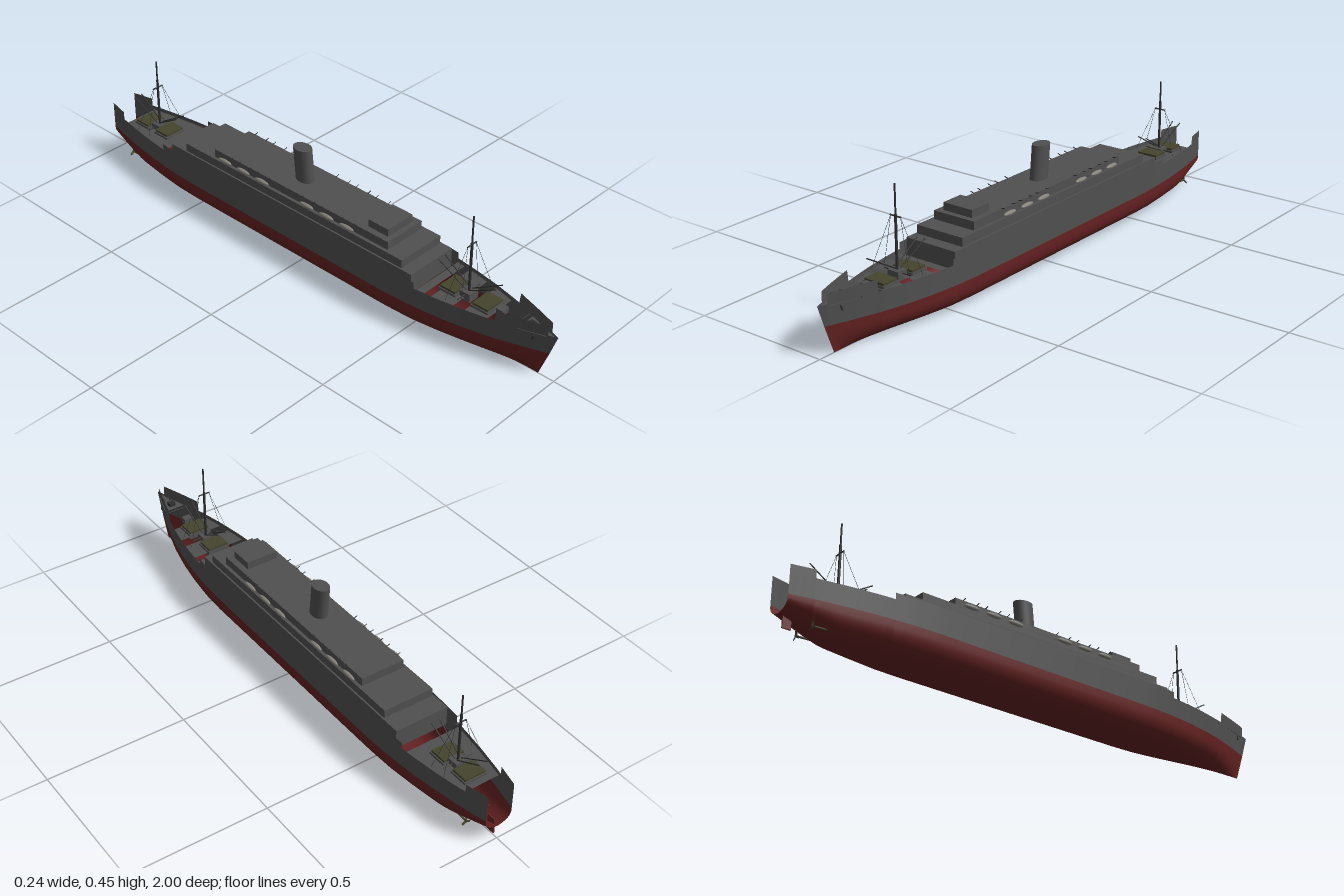
import * as THREE from 'three';

const mat = (name, color, side = THREE.FrontSide) => {
  const m = new THREE.MeshStandardMaterial({ color, side });
  m.name = name;
  return m;
};

// Half-breadth of the hull at deck level, as [z, halfWidth]
const BREADTH = [[-1, 0.05], [-0.9, 0.073], [-0.8, 0.091], [-0.7, 0.105], [-0.6, 0.114], [-0.5, 0.118], [0.4, 0.118],
  [0.5, 0.113], [0.6, 0.102], [0.7, 0.086], [0.8, 0.064], [0.9, 0.034], [0.96, 0.014], [1, 0.0005]];
// Height of the hull side, stepped at each bulwark: [zFrom, zTo, height]
const SHEER = [[-1, -0.92, 0.195], [-0.92, -0.66, 0.166], [-0.66, 0.52, 0.188], [0.52, 0.81, 0.166],
  [0.81, 0.97, 0.205], [0.97, 1, 0.17]];
const WATERLINE = 0.096;

const clamp01 = (v) => Math.min(1, Math.max(0, v));

function halfWidth(z) {
  for (let i = 1; i < BREADTH.length; i++) {
    const [z0, w0] = BREADTH[i - 1], [z1, w1] = BREADTH[i];
    if (z <= z1) return w0 + (w1 - w0) * clamp01((z - z0) / (z1 - z0));
  }
  return 0.0005;
}

// Raked stem: lower points near the bow move aft
const rake = (z, y) => z - 0.06 * clamp01((z - 0.6) / 0.4) * clamp01(1 - y / 0.165);

// Skin between rows of points
function loft(rows) {
  const n = rows[0].length, index = [];
  for (let i = 0; i < rows.length - 1; i++) {
    for (let j = 0; j < n - 1; j++) {
      const a = i * n + j, b = a + 1, c = a + n, d = c + 1;
      index.push(a, b, c, b, d, c);
    }
  }
  const g = new THREE.BufferGeometry();
  g.setAttribute('position', new THREE.Float32BufferAttribute(rows.flat(2), 3));
  g.setIndex(index);
  g.computeVertexNormals();
  return g;
}

// Hull stations, doubled where the bulwark height steps
const stations = SHEER.flatMap(([a, b, top]) => {
  const n = Math.max(2, Math.round((b - a) / 0.03));
  return Array.from({ length: n + 1 }, (_, i) => ({ z: a + (b - a) * i / n, top }));
});

function lowerSection(z) {
  const w = halfWidth(z);
  const keel = 0.052 * Math.pow(clamp01((-z - 0.82) / 0.18), 1.2);
  const ex = 0.7 + 1.0 * clamp01((z - 0.5) / 0.5) + 0.6 * clamp01((-z - 0.6) / 0.4);
  const row = [];
  for (let i = -12; i <= 12; i++) {
    const a = Math.abs(i) / 12 * Math.PI / 2;
    const x = Math.sign(i) * w * Math.pow(Math.sin(a), ex);
    const y = keel + (WATERLINE - keel) * (1 - Math.pow(Math.max(0, Math.cos(a)), 0.7));
    row.push([x, y, rake(z, y)]);
  }
  return row;
}

export function createModel() {
  const ship = new THREE.Group();
  ship.name = 'ship';
  const grey = mat('hull grey', 0x505050);
  const greyPlate = mat('plating grey', 0x505050, THREE.DoubleSide);
  const red = mat('bottom red', 0x662222, THREE.DoubleSide);
  const dark = mat('mast dark grey', 0x303030);
  const olive = mat('hatch olive', 0x45442c);
  const pale = mat('lifeboat pale grey', 0x85827a);

  const add = (name, geo, material, x = 0, y = 0, z = 0) => {
    const m = new THREE.Mesh(geo, material);
    m.name = name;
    m.position.set(x, y, z);
    ship.add(m);
    return m;
  };
  // Box given by half width, height range and length range
  const block = (name, material, hw, y0, y1, z0, z1, x = 0) =>
    add(name, new THREE.BoxGeometry(hw * 2, y1 - y0, z1 - z0), material, x, (y0 + y1) / 2, (z0 + z1) / 2);
  // Thin rod between two points
  const rod = (name, a, b, r, material = dark, sides = 6) => {
    const p = new THREE.Vector3(...a), d = new THREE.Vector3(...b).sub(p);
    const m = add(name, new THREE.CylinderGeometry(r, r, d.length(), sides), material);
    m.position.copy(p).addScaledVector(d, 0.5);
    m.quaternion.setFromUnitVectors(new THREE.Vector3(0, 1, 0), d.normalize());
    return m;
  };

  // Hull: red bottom and grey topsides, open above
  add('hullBottom', loft(stations.map((s) => lowerSection(s.z))), red);
  for (const side of [-1, 1]) {
    const rows = stations.map(({ z, top }) => {
      const row = [WATERLINE, top].map((y) => [side * halfWidth(z), y, rake(z, y)]);
      return side > 0 ? row : row.reverse();
    });
    add('hullSide', loft(rows), greyPlate);
  }

  // Deck sections following the hull outline
  const deck = (z0, z1, y) => {
    const left = [], right = [];
    for (let i = 0; i <= 8; i++) {
      const z = z0 + (z1 - z0) * i / 8, w = halfWidth(z) * 0.985;
      left.push(new THREE.Vector2(w, -z));
      right.unshift(new THREE.Vector2(-w, -z));
    }
    const g = new THREE.ShapeGeometry(new THREE.Shape([...left, ...right]));
    add('deck', g.rotateX(-Math.PI / 2), greyPlate, 0, y, 0);
  };
  for (const [z0, z1] of [[-0.91, -0.67], [0.52, 0.55], [0.575, 0.655], [0.695, 0.77]]) deck(z0, z1, 0.152);
  deck(0.875, 0.985, 0.163);

  // Stepped superstructure
  block('lowerHouse', grey, 0.1, 0.13, 0.202, -0.62, 0.5);
  block('middleHouse', grey, 0.094, 0.202, 0.232, -0.55, 0.455);
  block('upperHouse', grey, 0.082, 0.232, 0.262, -0.415, 0.385);
  block('bridge', grey, 0.059, 0.262, 0.289, 0.28, 0.365);

  // Raked oval funnel
  const funnelGeo = new THREE.CylinderGeometry(0.027, 0.027, 0.125, 32);
  const fp = funnelGeo.attributes.position;
  for (let i = 0; i < fp.count; i++) fp.setZ(i, fp.getZ(i) * 1.35 - fp.getY(i) * 0.1);
  funnelGeo.computeVertexNormals();
  add('funnel', funnelGeo, grey, 0, 0.32, -0.065);

  // Lifeboats with davits, two groups on each side
  const boatGeo = new THREE.SphereGeometry(1, 12, 8).scale(0.008, 0.008, 0.032);
  for (const side of [-1, 1]) {
    for (const start of [-0.355, 0.035]) {
      for (let i = 0; i < 3; i++) {
        const z = start + i * 0.09;
        add('lifeboat', boatGeo, pale, side * 0.092, 0.242, z);
        for (const dz of [-0.027, 0.027]) {
          rod('davit', [side * 0.08, 0.232, z + dz], [side * 0.08, 0.264, z + dz], 0.0015);
          rod('davitArm', [side * 0.08, 0.262, z + dz], [side * 0.093, 0.266, z + dz], 0.0015);
        }
      }
    }
  }

  // Masts with crosstrees, cargo booms and stays
  for (const [z, top] of [[0.655, 0.45], [-0.8, 0.425]]) {
    block('mastHouse', grey, 0.022, 0.14, 0.172, z - 0.02, z + 0.02);
    rod('lowerMast', [0, 0.14, z], [0, 0.35, z], 0.0045, dark, 10);
    rod('topMast', [0, 0.35, z], [0, top, z], 0.003, dark, 10);
    const cross = top - 0.105;
    rod('crosstree', [-0.022, cross, z], [0.022, cross, z], 0.0025);
    rod('boomBeam', [-0.055, 0.163, z], [0.055, 0.163, z], 0.0018);
    for (const side of [-1, 1]) {
      for (const end of [-1, 1]) {
        rod('cargoBoom', [side * 0.009, 0.175, z + end * 0.005], [side * 0.016, 0.24, z + end * 0.115], 0.002);
        rod('stay', [side * 0.02, cross, z], [side * 0.08, 0.16, z + end * 0.03], 0.0006, dark, 4);
      }
    }
  }

  // Cargo hatches
  for (const z of [0.6, 0.73, -0.75, -0.853]) {
    block('hatchCoaming', grey, 0.043, 0.14, 0.16, z - 0.034, z + 0.034);
    block('hatchCover', olive, 0.039, 0.16, 0.168, z - 0.03, z + 0.03);
  }

  // Forecastle fittings
  block('windlass', dark, 0.012, 0.163, 0.177, 0.89, 0.91);
  block('foreHouse', grey, 0.016, 0.15, 0.172, 0.775, 0.8);
  rod('foreRail', [-0.045, 0.163, 0.86], [0.045, 0.163, 0.86], 0.002);
  for (const side of [-1, 1]) {
    rod('anchor', [side * 0.026, 0.155, 0.93], [side * 0.028, 0.14, 0.925], 0.003);
    add('bollard', new THREE.CylinderGeometry(0.003, 0.003, 0.012, 8), dark, side * 0.013, 0.168, 0.935);
  }

  // Rudder, shafts and twin propellers
  block('rudder', red, 0.0025, 0.008, 0.066, -0.985, -0.955);
  for (const side of [-1, 1]) {
    const x = side * 0.045, y = 0.021;
    rod('propellerShaft', [x, 0.025, -0.83], [x, y, -0.912], 0.0035, olive, 8);
    for (let i = 0; i < 3; i++) {
      const a = i * Math.PI * 2 / 3 + Math.PI / 2;
      const blade = add('propellerBlade', new THREE.BoxGeometry(0.016, 0.008, 0.002), olive,
        x + Math.cos(a) * 0.009, y + Math.sin(a) * 0.009, -0.908);
      blade.rotation.set(0.4, 0, a, 'ZXY');
    }
  }
  return ship;
}
